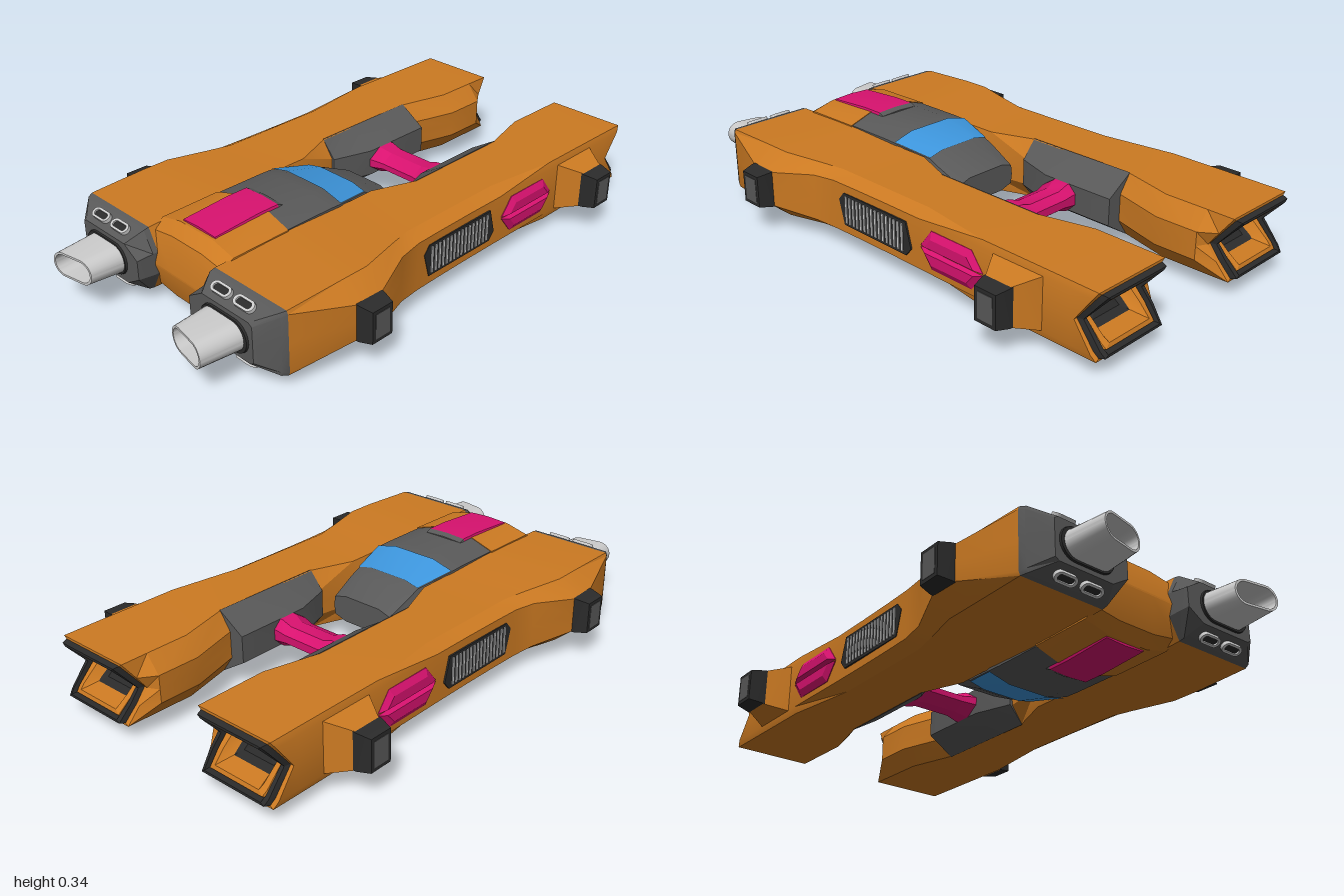
import * as THREE from 'three';
import { toCreasedNormals } from 'three/addons/utils/BufferGeometryUtils.js';

const MID = 0.175; // height of the horizontal mirror plane

const paint = (color, side = THREE.FrontSide) => new THREE.MeshStandardMaterial({ color, side });

// Skins a list of rings (arrays of [x, y, z]); closed solids are turned outward.
function loft(rings, { capStart = true, capEnd = true, closed = true, crease = 0.4 } = {}) {
  const tris = [], n = rings[0].length;
  for (let r = 0; r + 1 < rings.length; r++) {
    for (let i = 0; i < (closed ? n : n - 1); i++) {
      const j = (i + 1) % n, a = rings[r], b = rings[r + 1];
      tris.push(a[i], a[j], b[j], a[i], b[j], b[i]);
    }
  }
  const mean = pts => [0, 1, 2].map(k => pts.reduce((s, p) => s + p[k], 0) / pts.length);
  const cap = (ring, flip) => ring.forEach((p, i) => {
    const q = ring[(i + 1) % n];
    tris.push(mean(ring), ...(flip ? [q, p] : [p, q]));
  });
  if (capStart) cap(rings[0], true);
  if (capEnd) cap(rings[rings.length - 1], false);
  const c = new THREE.Vector3(...mean(rings.flat()));
  let volume = 0;
  for (let i = 0; i < tris.length; i += 3) {
    const [p, q, s] = [0, 1, 2].map(k => new THREE.Vector3(...tris[i + k]).sub(c));
    volume += p.dot(q.cross(s));
  }
  if (volume < 0) for (let i = 0; i < tris.length; i += 3) [tris[i + 1], tris[i + 2]] = [tris[i + 2], tris[i + 1]];
  const geo = new THREE.BufferGeometry();
  geo.setAttribute('position', new THREE.Float32BufferAttribute(tris.flat(), 3));
  return toCreasedNormals(geo, crease);
}

// Mirrored copy with corrected winding.
function reflect(geo, sx, sy) {
  const g = geo.index ? geo.toNonIndexed() : geo.clone();
  g.deleteAttribute('uv');
  g.scale(sx, sy, 1);
  if (sx * sy < 0) {
    const p = g.attributes.position.array;
    for (let i = 0; i < p.length; i += 9)
      for (let k = 3; k < 6; k++) [p[i + k], p[i + k + 3]] = [p[i + k + 3], p[i + k]];
  }
  return toCreasedNormals(g, 0.4);
}

// Frustum growing along x from x0 to x1, half sizes in z and y at each end.
const rectX = (x, z, hz, hy) => [[x, -hy, z - hz], [x, hy, z - hz], [x, hy, z + hz], [x, -hy, z + hz]];
const frustum = (z, ...ends) => loft(ends.map(([x, hz, hy]) => rectX(x, z, hz, hy)));

// Rounded slot outline
function stadium(cx, hw, hh, z) {
  return Array.from({ length: 28 }, (_, i) => {
    const a = (Math.floor(i / 14) * 14 + (i % 14) * 14 / 13) / 28 * Math.PI * 2 - Math.PI / 2;
    const x = cx + (i < 14 ? 1 : -1) * (hw - hh) + Math.cos(a) * hh;
    return [x, Math.sin(a) * hh, z(x)];
  });
}

export function createModel() {
  const model = new THREE.Group();
  model.name = 'spacecraft';
  const orange = paint(0xcc7a22), orangeThin = paint(0xcc7a22, THREE.DoubleSide);
  const grey = paint(0x595959), dark = paint(0x2b2b2b), darkThin = paint(0x2b2b2b, THREE.DoubleSide);
  const pink = paint(0xd8126f), blue = paint(0x3d96dd, THREE.DoubleSide);
  const light = paint(0xcccccc), lightThin = paint(0xcccccc, THREE.DoubleSide);

  function put(name, geo, mat, mx = true, my = false) {
    for (const sx of mx ? [1, -1] : [1]) for (const sy of my ? [1, -1] : [1]) {
      const mesh = new THREE.Mesh(reflect(geo, sx, sy), mat);
      mesh.name = (mx ? (sx > 0 ? 'left ' : 'right ') : '') + (my ? (sy > 0 ? 'upper ' : 'lower ') : '') + name;
      mesh.position.y = MID;
      model.add(mesh);
    }
  }

  // Side hulls: [z, inner top x, inner middle x, outer top x, outer side x, height, side height, inner height, notch]
  const hullRing = ([z, it, im, ot, os, h, hs, hi, notch = 0]) => [
    [it, h], [ot, h], [os, hs], [os, 0], [os, -hs], [ot, -h], [it, -h], [im, -hi], [im, 0], [im, hi],
  ].map(([x, y]) => [x, y, z + notch * (1 - Math.abs(y) / h)]);
  const tail = [-0.98, 0.18, 0.17, 0.48, 0.487, 0.112, 0.09, 0.05, 0.08];
  const front = [0.755, 0.17, 0.13, 0.495, 0.5, 0.117, 0.105, 0.04];
  put('hull', loft([
    tail,
    [-0.88, 0.18, 0.13, 0.48, 0.487, 0.113, 0.09, 0.05],
    [-0.72, 0.18, 0.13, 0.48, 0.487, 0.114, 0.09, 0.05],
    [-0.53, 0.23, 0.185, 0.48, 0.487, 0.115, 0.09, 0.05],
    [-0.25, 0.23, 0.185, 0.44, 0.485, 0.115, 0.09, 0.05],
    [-0.09, 0.23, 0.185, 0.44, 0.485, 0.115, 0.09, 0.05],
    [0.07, 0.17, 0.16, 0.44, 0.487, 0.115, 0.09, 0.05],
    [0.18, 0.17, 0.15, 0.44, 0.49, 0.115, 0.09, 0.05],
    [0.27, 0.17, 0.14, 0.46, 0.503, 0.118, 0.085, 0.05],
    [0.43, 0.17, 0.14, 0.5, 0.567, 0.123, 0.065, 0.05],
    [0.54, 0.17, 0.14, 0.5, 0.565, 0.123, 0.065, 0.05],
    front,
  ].map(hullRing), { capStart: false }), orange);

  // Notched tail exhaust: nested frames stepping inward
  const tailRing = (s, dz) => hullRing(tail).map(([x, y, z]) => [0.33 + (x - 0.33) * s, y * s, z + dz]);
  const open = { capStart: false, capEnd: false };
  put('tail rim', loft([tailRing(1, 0), tailRing(0.92, 0)], open), orangeThin);
  put('tail trim', loft([tailRing(0.92, 0), tailRing(0.88, -0.02), tailRing(0.8, -0.02), tailRing(0.78, 0.02)], open), darkThin);
  put('tail frame', loft([tailRing(0.78, 0.01), tailRing(0.74, -0.005), tailRing(0.62, 0), tailRing(0.5, 0.06)], open), orangeThin);
  put('tail exhaust', loft([tailRing(0.5, 0.06), tailRing(0.42, 0.09)], { capStart: false }), darkThin);

  // Grey engine nose with its slots and nozzle
  put('engine nose', loft([front, [0.775, 0.17, 0.13, 0.485, 0.49, 0.113, 0.1, 0.04],
    [0.835, 0.2, 0.135, 0.415, 0.43, 0.075, 0.065, 0.035]].map(hullRing)), grey);
  for (const [i, x] of [0.26, 0.365].entries()) {
    const slope = g => g.rotateX(-1.05).translate(x, 0.1, 0.803);
    const ring = (w, h, z) => stadium(0, w, h, () => z);
    put(`slot rim ${i + 1}`, slope(loft([ring(0.043, 0.019, -0.01), ring(0.043, 0.019, 0.009),
      ring(0.032, 0.011, 0.009), ring(0.032, 0.011, -0.01)], open)), lightThin, true, true);
    put(`slot ${i + 1}`, slope(loft([ring(0.034, 0.012, -0.01), ring(0.034, 0.012, 0.003)])), dark, true, true);
  }
  const flat = z => () => z, slant = z => x => z + (x - 0.3) * 0.18;
  put('nozzle collar', loft([stadium(0.303, 0.115, 0.062, flat(0.82)), stadium(0.303, 0.108, 0.058, flat(0.842))]), dark);
  put('nozzle', loft([stadium(0.3, 0.1, 0.052, flat(0.83)), stadium(0.297, 0.086, 0.046, slant(0.977)),
    stadium(0.297, 0.078, 0.038, slant(0.977)), stadium(0.3, 0.078, 0.036, flat(0.86))], open), lightThin);
  put('nozzle throat', loft([stadium(0.3, 0.08, 0.038, flat(0.85)), stadium(0.3, 0.08, 0.038, flat(0.865))]), dark);

  // Grey panels on the facing sides of the arms
  put('inner panel', loft([[-0.53, 0.127], [-0.24, 0.127], [-0.09, 0.175]].map(([z, x]) =>
    [[0.232, 0.117], [x, 0.05], [x, -0.05], [0.232, -0.117], [0.28, 0]].map(([px, py]) => [px, py, z]))), grey);

  // Side pods
  put('rear pod mount', frustum(-0.68, [0.47, 0.105, 0.095], [0.487, 0.1, 0.09], [0.57, 0.05, 0.066]), orange);
  for (const [name, z] of [['rear pod', -0.68], ['front pod', 0.485]]) {
    put(name, frustum(z, [0.555, 0.055, 0.068], [0.575, 0.055, 0.066], [0.622, 0.043, 0.058]), dark);
    put(`${name} inset`, frustum(z, [0.61, 0.03, 0.045], [0.6235, 0.03, 0.045]), grey);
  }

  // Ribbed side vents
  const ventRing = (x, s) => [[0.15, 0.03], [0.125, 0.06], [-0.19, 0.06], [-0.215, -0.03], [-0.19, -0.06], [0.125, -0.06]]
    .map(([z, y]) => [x, y * s, -0.03 + (z + 0.03) * s]);
  put('vent', loft([ventRing(0.47, 1), ventRing(0.491, 1)]), dark);
  for (let i = 0; i < 16; i++)
    put(`vent rib ${i + 1}`, new THREE.BoxGeometry(0.015, 0.1, 0.009).translate(0.487, 0, 0.112 - i * 0.019), light);

  // Split side blisters
  const blister = (x, l, s, y0, y1) => [[x, y0, -0.4 - l], [x, y1, -0.4 - s], [x, y1, -0.4 + s], [x, y0, -0.4 + l]];
  put('side blister', loft([blister(0.47, 0.14, 0.09, 0.003, 0.068), blister(0.488, 0.14, 0.09, 0.003, 0.068),
    blister(0.502, 0.11, 0.08, 0.01, 0.045)]), pink, true, true);

  // Cross bar between the arms: [x, rear z, front z, half height]
  put('cross bar', loft([[-0.14, -0.38, -0.235, 0.05], [-0.115, -0.38, -0.238, 0.05], [-0.075, -0.38, -0.25, 0.037],
    [0.075, -0.38, -0.25, 0.037], [0.115, -0.38, -0.238, 0.05], [0.14, -0.38, -0.235, 0.05]].map(([x, a, b, h]) =>
    [[x, h * 0.4, a], [x, h, a + 0.03], [x, h, b - 0.05], [x, h * 0.3, b], [x, -h * 0.3, b], [x, -h, b - 0.05],
      [x, -h, a + 0.03], [x, -h * 0.4, a]])), pink, false);

  // Centre body: [z, crown half width, crown height, shoulder half width, shoulder height, middle half width]
  const bodyRing = ([z, a, h, w, hs, m]) => [[-a, h], [a, h], [w, hs], [m, 0], [w, -hs], [a, -h], [-a, -h], [-w, -hs], [-m, 0], [-w, hs]]
    .map(([x, y]) => [x, y, z]);
  const glassBack = [0.07, 0.08, 0.112, 0.14, 0.098, 0.165], glassFront = [0.22, 0.09, 0.147, 0.175, 0.125, 0.175];
  put('cockpit body', loft([[-0.07, 0.08, 0.05, 0.13, 0.035, 0.135], [0.03, 0.08, 0.097, 0.14, 0.08, 0.165], glassBack, glassFront,
    [0.27, 0.085, 0.154, 0.175, 0.127, 0.175], [0.47, 0.085, 0.156, 0.175, 0.127, 0.175]].map(bodyRing)), grey, false);
  put('canopy glass', loft([glassBack, glassFront].map(s => {
    const r = bodyRing(s).map(([x, y, z]) => [x, y + 0.004, z]);
    return [r[9], r[0], r[1], r[2]];
  }), { ...open, closed: false }), blue, false, true);
  put('centre nose', loft([[0.46, 0.085, 0.158, 0.18, 0.128, 0.18], [0.69, 0.085, 0.148, 0.18, 0.125, 0.18],
    [0.735, 0.075, 0.115, 0.175, 0.1, 0.18], [0.77, 0.04, 0.003, 0.13, 0.003, 0.14]].map(bodyRing)), orange, false);

  // Raised spine panels
  const spine = ([z, h]) => [[-0.085, h - 0.02], [-0.08, h - 0.004], [0, h], [0.08, h - 0.004], [0.085, h - 0.02], [0.085, 0.1], [-0.085, 0.1]]
    .map(([x, y]) => [x, y, z]);
  put('spine panel', loft([[0.415, 0.169], [0.5, 0.169], [0.68, 0.157]].map(spine)), pink, false, true);
  put('spine panel edge', loft([[0.395, 0.16], [0.415, 0.169]].map(spine)), grey, false, true);
  return model;
}
